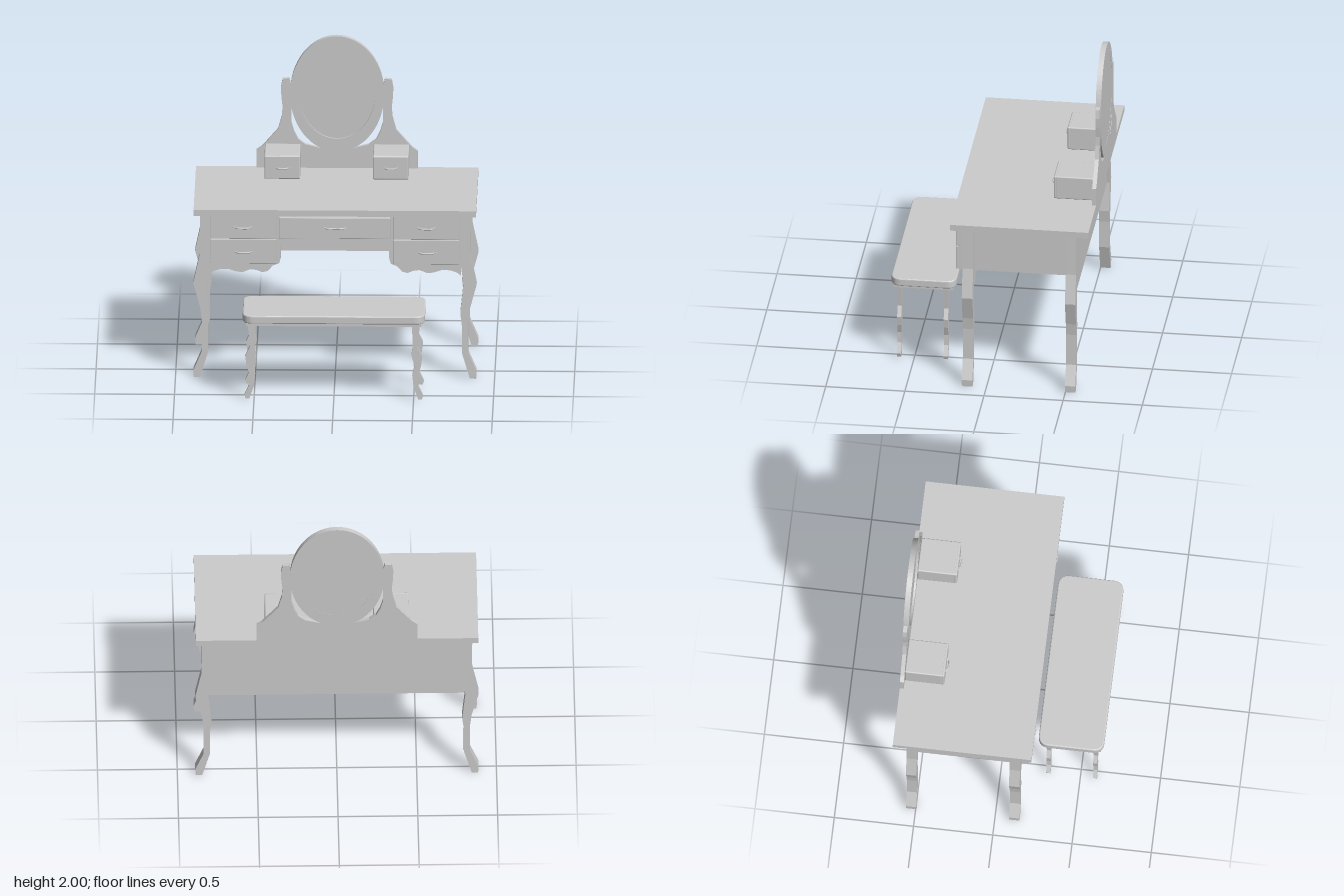
import * as THREE from 'three';
import { RoundedBoxGeometry } from 'three/addons/geometries/RoundedBoxGeometry.js';

const material = new THREE.MeshStandardMaterial({ color: 0xcccccc });
const flat = new THREE.MeshStandardMaterial({ color: 0xcccccc, flatShading: true });

function add(parent, name, geometry, mat = flat) {
  const mesh = new THREE.Mesh(geometry, mat);
  mesh.name = name;
  parent.add(mesh);
  return mesh;
}

// Box given by its limits on each axis
function box(parent, name, [x0, x1], [y0, y1], [z0, z1], radius = 0) {
  const size = [x1 - x0, y1 - y0, z1 - z0];
  const geometry = radius
    ? new RoundedBoxGeometry(...size, 3, radius)
    : new THREE.BoxGeometry(...size);
  const mesh = add(parent, name, geometry, radius ? material : flat);
  mesh.position.set((x0 + x1) / 2, (y0 + y1) / 2, (z0 + z1) / 2);
  return mesh;
}

const toShape = (points) => new THREE.Shape(points.map(([x, y]) => new THREE.Vector2(x, y)));
const flip = (points) => points.map(([x, y]) => [-x, y]).reverse();

// Front-facing outline given thickness from z0 to z1
function slab(parent, name, shape, z0, z1, mat = flat) {
  const geometry = new THREE.ExtrudeGeometry(shape, {
    depth: z1 - z0, bevelEnabled: false, curveSegments: 40,
  });
  geometry.translate(0, 0, z0);
  return add(parent, name, geometry, mat);
}

function ellipse(cy, rx, ry) {
  const shape = new THREE.Shape();
  shape.absellipse(0, cy, rx, ry, 0, Math.PI * 2, false, 0);
  return shape;
}

// Bowed pull with two flat end plates
function handle(parent, name, x, y, z, width) {
  const group = new THREE.Group();
  group.name = name;
  const w = width / 2;
  const curve = new THREE.CatmullRomCurve3([
    new THREE.Vector3(-w * 0.75, 0, 0),
    new THREE.Vector3(-w * 0.55, 0, 0.012),
    new THREE.Vector3(0, 0, 0.015),
    new THREE.Vector3(w * 0.55, 0, 0.012),
    new THREE.Vector3(w * 0.75, 0, 0),
  ]);
  add(group, 'pull', new THREE.TubeGeometry(curve, 16, 0.005, 8), material);
  for (const s of [-1, 1]) {
    const plate = add(group, 'endPlate', new THREE.CylinderGeometry(0.008, 0.008, 0.006, 12), material);
    plate.rotation.x = Math.PI / 2;
    plate.scale.x = 2;
    plate.position.set(s * w * 0.76, 0, 0.002);
  }
  group.position.set(x, y, z);
  parent.add(group);
}

function buildTable() {
  const table = new THREE.Group();
  table.name = 'dressingTable';
  box(table, 'tableTop', [-0.885, 0.885], [1.09, 1.13], [-0.645, 0.23]);
  box(table, 'backPanel', [-0.8, 0.8], [0.62, 1.09], [-0.545, -0.51]);

  // Curved legs
  const leg = [
    [0.785, 1.09], [0.785, 0.78], [0.805, 0.62], [0.785, 0.43], [0.795, 0.35], [0.795, 0.17],
    [0.845, 0], [0.885, 0], [0.888, 0.045], [0.835, 0.17], [0.835, 0.38], [0.845, 0.46],
    [0.888, 0.62], [0.848, 0.81], [0.845, 1.09],
  ];
  for (const [z0, z1, place] of [[0.088, 0.155, 'front'], [-0.562, -0.497, 'back']]) {
    slab(table, place + 'LeftLeg', toShape(leg), z0, z1);
    slab(table, place + 'RightLeg', toShape(flip(leg)), z0, z1);
  }

  // Scalloped apron between the front legs
  const edge = [
    [0.79, 0.68], [0.765, 0.7], [0.72, 0.715], [0.67, 0.717], [0.62, 0.7], [0.58, 0.695],
    [0.53, 0.715], [0.49, 0.71], [0.455, 0.695], [0.42, 0.705], [0.39, 0.74], [0.35, 0.755],
    [0.34, 0.79], [0.34, 0.87], [0.315, 0.905], [0.26, 0.925], [0.215, 0.92], [0.19, 0.9],
    [0.14, 0.91], [0.1, 0.89], [0.05, 0.875], [0, 0.87],
  ];
  slab(table, 'apron', toShape([[-0.79, 1.07], ...flip(edge).reverse(),
    ...edge.slice(0, -1).reverse(), [0.79, 1.07]]), 0.084, 0.155);

  // Drawer pedestals, two drawers each
  for (const s of [-1, 1]) {
    const side = s > 0 ? 'left' : 'right';
    const span = (a, b) => (s > 0 ? [a, b] : [-b, -a]);
    box(table, side + 'DrawerCase', span(0.365, 0.782), [0.77, 1.09], [-0.51, 0.19]);
    for (const [y0, y1, hy] of [[0.77, 0.929, 0.845], [0.931, 1.088, 1.005]]) {
      box(table, side + 'DrawerFront', span(0.365, 0.78), [y0, y1], [0.18, 0.205], 0.003);
      handle(table, side + 'DrawerHandle', s * 0.575, hy, 0.205, 0.13);
    }
  }

  // Shallow centre drawer
  box(table, 'centreDrawerCase', [-0.345, 0.345], [0.94, 1.07], [-0.51, 0.19]);
  box(table, 'centreDrawerFront', [-0.35, 0.35], [0.935, 1.072], [0.18, 0.205], 0.003);
  handle(table, 'centreDrawerHandle', 0, 1.005, 0.205, 0.165);
  return table;
}

function buildMirror() {
  const mirror = new THREE.Group();
  mirror.name = 'mirrorUnit';

  // Cradle: one board with a hollow that holds the oval
  const outer = [
    [0.505, 1.13], [0.505, 1.245], [0.47, 1.27], [0.43, 1.315], [0.37, 1.385], [0.347, 1.47],
    [0.342, 1.53], [0.35, 1.6], [0.352, 1.66], [0.342, 1.715], [0.3, 1.72], [0.29, 1.68],
    [0.28, 1.6], [0.287, 1.53], [0.287, 1.43], [0.27, 1.37], [0.245, 1.32], [0.2, 1.285],
    [0.1, 1.26],
  ];
  slab(mirror, 'mirrorCradle', toShape([...outer, [0, 1.24], ...flip(outer)]), -0.645, -0.62);

  // Oval frame, closed behind, with the glass set back
  const frame = ellipse(1.62, 0.295, 0.38);
  frame.holes.push(ellipse(1.625, 0.24, 0.3));
  slab(mirror, 'mirrorFrame', frame, -0.648, -0.614, material);
  slab(mirror, 'mirrorGlass', ellipse(1.625, 0.241, 0.301), -0.647, -0.627, material);

  // Small drawer boxes on the table top
  for (const s of [-1, 1]) {
    const side = s > 0 ? 'left' : 'right';
    const span = s > 0 ? [0.228, 0.452] : [-0.452, -0.228];
    box(mirror, side + 'TrinketBox', span, [1.135, 1.29], [-0.62, -0.38], 0.008);
    box(mirror, side + 'TrinketDrawerFront', span, [1.137, 1.29], [-0.39, -0.37], 0.008);
    handle(mirror, side + 'TrinketHandle', s * 0.34, 1.21, -0.37, 0.095);
  }
  return mirror;
}

function buildBench() {
  const bench = new THREE.Group();
  bench.name = 'bench';

  // Cushion with rounded corners and a soft edge
  const w = 0.563, d = 0.198, r = 0.06;
  const outline = new THREE.Shape();
  outline.moveTo(-w + r, -d);
  outline.lineTo(w - r, -d);
  outline.quadraticCurveTo(w, -d, w, -d + r);
  outline.lineTo(w, d - r);
  outline.quadraticCurveTo(w, d, w - r, d);
  outline.lineTo(-w + r, d);
  outline.quadraticCurveTo(-w, d, -w, d - r);
  outline.lineTo(-w, -d + r);
  outline.quadraticCurveTo(-w, -d, -w + r, -d);
  const cushion = new THREE.ExtrudeGeometry(outline, {
    depth: 0.036, bevelThickness: 0.008, bevelSize: 0.008, bevelSegments: 3, curveSegments: 8,
  });
  cushion.rotateX(-Math.PI / 2);
  add(bench, 'seatCushion', cushion, material).position.set(0, 0.524, 0.44);
  box(bench, 'seatBoard', [-0.55, 0.55], [0.497, 0.52], [0.25, 0.63]);

  // Curved legs
  const leg = [
    [0.49, 0.5], [0.495, 0.36], [0.487, 0.3], [0.507, 0.23], [0.492, 0.17], [0.5, 0.095],
    [0.528, 0.012], [0.553, 0.012], [0.56, 0.035], [0.53, 0.1], [0.528, 0.17], [0.547, 0.23],
    [0.555, 0.29], [0.525, 0.355], [0.54, 0.5],
  ];
  for (const [z0, z1, place] of [[0.58, 0.606, 'front'], [0.285, 0.312, 'back']]) {
    slab(bench, place + 'LeftBenchLeg', toShape(leg), z0, z1);
    slab(bench, place + 'RightBenchLeg', toShape(flip(leg)), z0, z1);
  }
  return bench;
}

export function createModel() {
  const model = new THREE.Group();
  model.name = 'vanitySet';
  model.add(buildTable(), buildMirror(), buildBench());
  return model;
}
